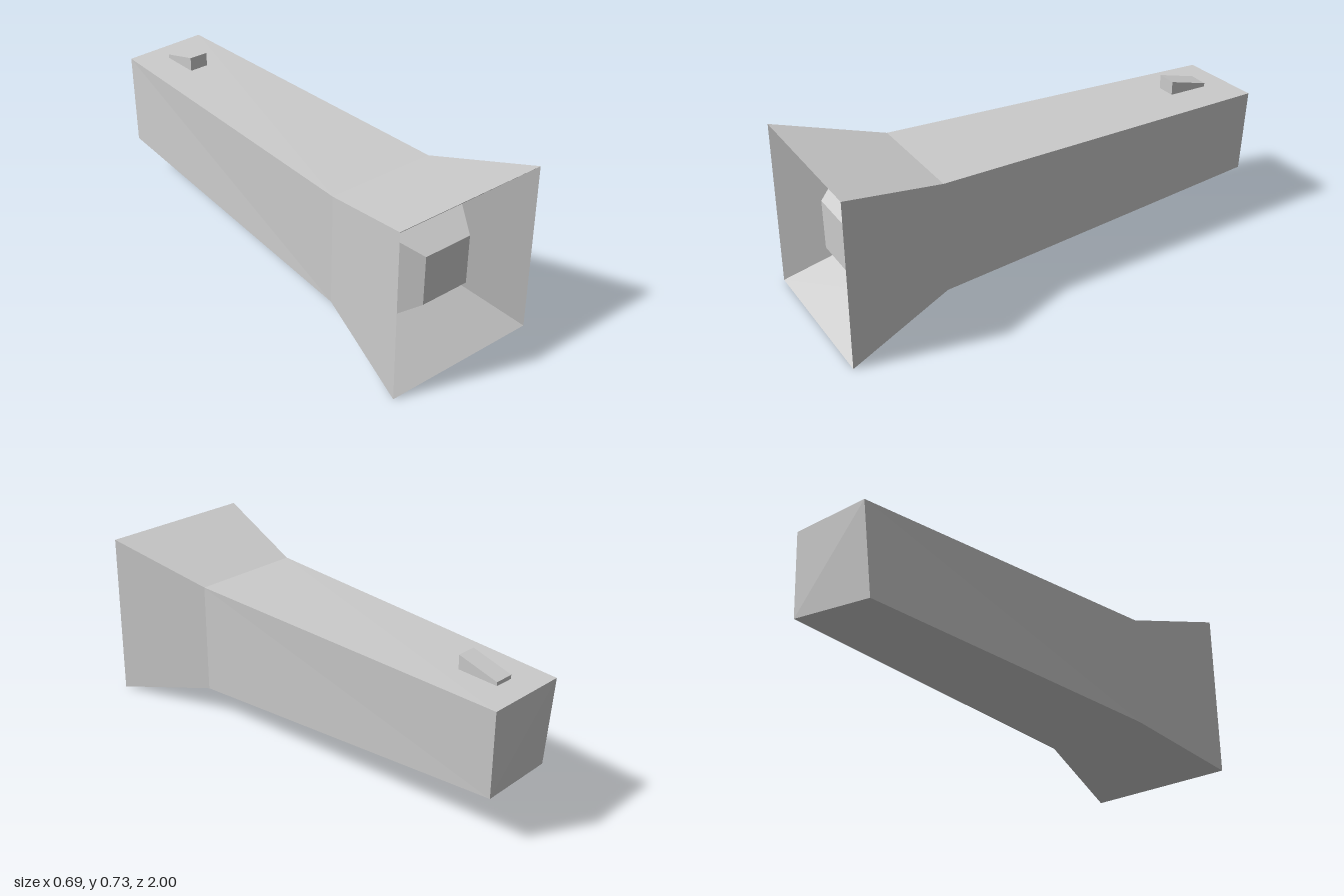
import * as THREE from 'three';

// Four corners at depth z: bottom -x, bottom +x, top +x, top -x
const rect = (x0, x1, y0, y1, zBottom, zTop = zBottom) => [
  [x0, y0, zBottom], [x1, y0, zBottom], [x1, y1, zTop], [x0, y1, zTop],
];

// Skins a series of four-cornered sections, with optional end caps
function loft(name, sections, capStart, capEnd) {
  const pos = [];
  const quad = (a, b, c, d) => pos.push(...a, ...b, ...c, ...a, ...c, ...d);
  for (let s = 0; s < sections.length - 1; s++) {
    const a = sections[s], b = sections[s + 1];
    for (let i = 0; i < 4; i++) {
      const j = (i + 1) % 4;
      quad(a[i], a[j], b[j], b[i]);
    }
  }
  if (capStart) quad(...[...sections[0]].reverse());
  if (capEnd) quad(...sections[sections.length - 1]);
  const geo = new THREE.BufferGeometry();
  geo.setAttribute('position', new THREE.Float32BufferAttribute(pos, 3));
  geo.computeVertexNormals();
  const mat = new THREE.MeshStandardMaterial({
    color: 0xcccccc, flatShading: true, side: THREE.DoubleSide,
  });
  const mesh = new THREE.Mesh(geo, mat);
  mesh.name = name;
  return mesh;
}

export function createModel() {
  const group = new THREE.Group();
  group.name = 'flashlight';

  // Slightly skewed tail end, shoulder and flared rim
  const tail = [
    [-0.205, 0.173, -0.95], [0.178, 0.205, -0.99], [0.188, 0.575, -1], [-0.19, 0.567, -0.99],
  ];
  const shoulder = rect(-0.255, 0.23, 0.12, 0.605, 0.53);
  const rim = rect(-0.347, 0.345, 0, 0.73, 1, 0.99);
  const recess = rect(-0.19, 0.172, 0.167, 0.53, 0.78);
  const bulbFace = rect(-0.113, 0.11, 0.254, 0.47, 0.89);

  group.add(loft('handle', [tail, shoulder], true, false));
  group.add(loft('head', [shoulder, rim], false, false));
  group.add(loft('reflector', [rim, recess], false, false));
  group.add(loft('bulb', [recess, bulbFace], false, true));

  // Wedge-shaped switch on top of the handle
  group.add(loft('switch', [
    rect(-0.055, 0.03, 0.56, 0.59, -0.88),
    rect(-0.055, 0.03, 0.56, 0.64, -0.7),
  ], true, true));

  return group;
}
